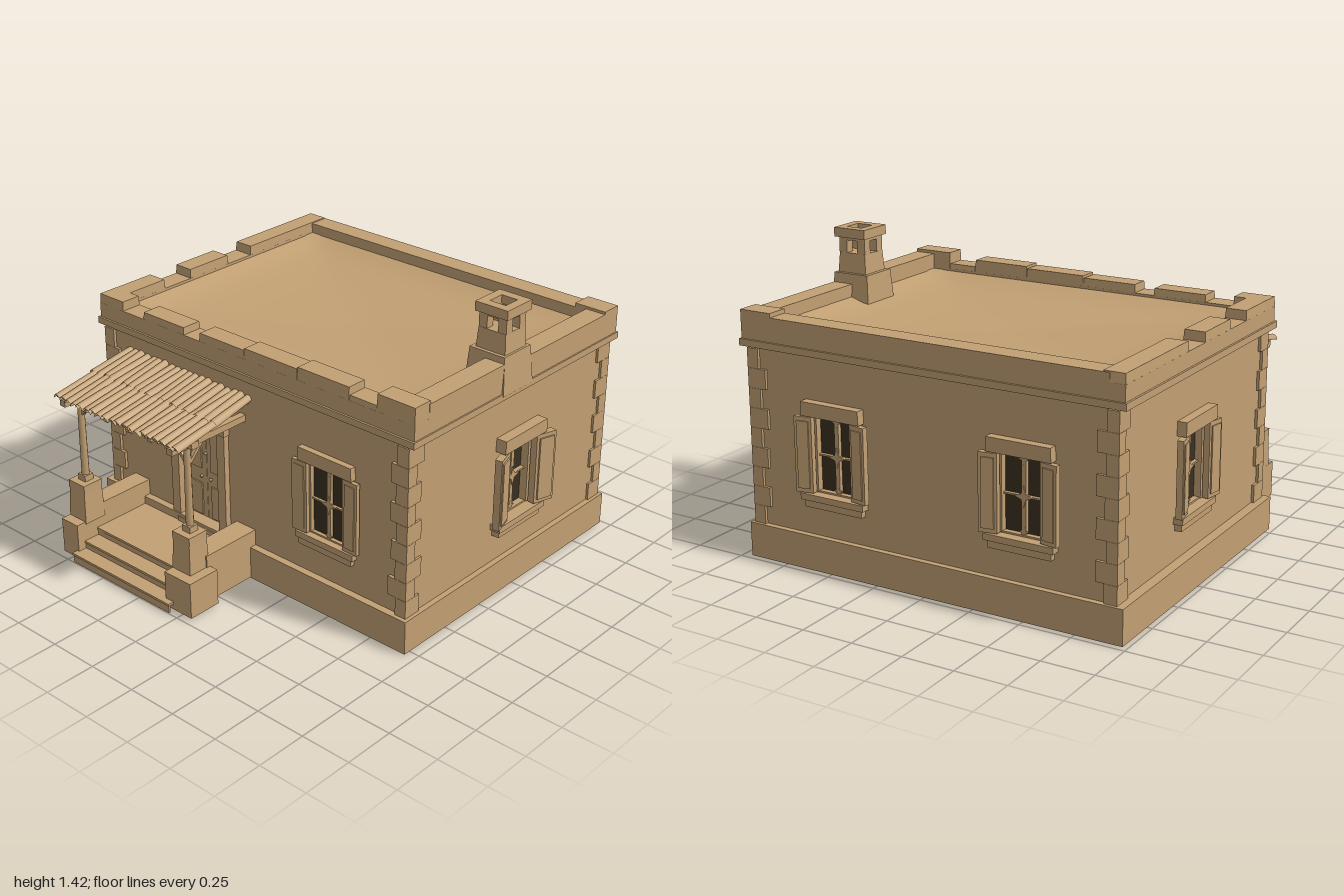
import * as THREE from 'three';

const stone = new THREE.MeshStandardMaterial({ color: 0xc2a073, side: THREE.DoubleSide });
stone.name = 'sandstone';
const dark = new THREE.MeshStandardMaterial({ color: 0x3a3021, side: THREE.DoubleSide });
dark.name = 'darkGlass';

let seed = 7;
const rnd = () => (seed = (seed * 16807) % 2147483647) / 2147483647;
const jit = a => (rnd() - 0.5) * 2 * a;

function add(parent, name, geo, mat = stone) {
  const m = new THREE.Mesh(geo, mat);
  m.name = name;
  parent.add(m);
  return m;
}

// Box given by its limits; the top can be narrowed by tx and tz
function box(parent, name, x0, x1, y0, y1, z0, z1, tx = 1, tz = 1, mat = stone) {
  const g = new THREE.BoxGeometry(x1 - x0, y1 - y0, z1 - z0);
  const p = g.attributes.position;
  for (let i = 0; i < p.count; i++) {
    if (p.getY(i) > 0) { p.setX(i, p.getX(i) * tx); p.setZ(i, p.getZ(i) * tz); }
  }
  g.computeVertexNormals();
  const m = add(parent, name, g, mat);
  m.position.set((x0 + x1) / 2, (y0 + y1) / 2, (z0 + z1) / 2);
  return m;
}

function rect(C, x0, x1, y0, y1) {
  return new C([[x0, y0], [x1, y0], [x1, y1], [x0, y1]].map(a => new THREE.Vector2(...a)));
}

// Rectangular ring lying flat, with wall thickness t
function ring(parent, name, x0, x1, z0, z1, t, y0, y1) {
  const s = rect(THREE.Shape, x0, x1, -z1, -z0);
  s.holes.push(rect(THREE.Path, x0 + t, x1 - t, -z1 + t, -z0 - t));
  const g = new THREE.ExtrudeGeometry(s, { depth: y1 - y0, bevelEnabled: false }).rotateX(-Math.PI / 2);
  add(parent, name, g).position.y = y0;
}

// Straight bar between two points
function bar(parent, name, a, b, w) {
  const A = new THREE.Vector3(...a), B = new THREE.Vector3(...b);
  const m = add(parent, name, new THREE.BoxGeometry(w, w, A.distanceTo(B)));
  m.position.copy(A).add(B).multiplyScalar(0.5);
  m.lookAt(B);
}

// Window with shutters, facing +z, its wall face at z = 0
function makeWindow(cx, depthScale, tilt, leaf) {
  const g = new THREE.Group();
  g.name = 'window';
  g.position.x = cx;
  g.scale.z = depthScale;
  box(g, 'glass', -0.11, 0.11, 0.37, 0.74, -0.026, -0.022, 1, 1, dark);
  box(g, 'lintel', -0.155, 0.16, 0.74, 0.805, -0.01, 0.03, 0.98, 1);
  box(g, 'sill', -0.17, 0.17, 0.345, 0.375, -0.01, 0.03);
  box(g, 'sillBase', -0.155, 0.155, 0.31, 0.345, -0.01, 0.022);
  box(g, 'frameTop', -0.11, 0.11, 0.725, 0.74, -0.022, -0.004);
  box(g, 'frameBottom', -0.11, 0.11, 0.37, 0.383, -0.022, -0.004);
  box(g, 'mullion', -0.011, 0.011, 0.38, 0.73, -0.022, -0.008);
  box(g, 'crossbar', -0.105, 0.105, 0.547, 0.555, -0.022, -0.01);
  const star = new THREE.Shape();
  for (let i = 0; i < 8; i++) {
    const r = i % 2 ? 0.017 : 0.048, a = i * Math.PI / 4;
    star[i ? 'lineTo' : 'moveTo'](r * Math.cos(a), r * Math.sin(a));
  }
  const starGeo = new THREE.ExtrudeGeometry(star, { depth: 0.006, bevelEnabled: false });
  for (const [y, size] of [[0.395, 0.55], [0.551, 1], [0.715, 0.55]]) {
    const m = add(g, 'starOrnament', starGeo);
    m.position.set(0, y, -0.011);
    m.scale.setScalar(size);
  }
  for (const s of [-1, 1]) {
    const jamb = s * 0.105;
    box(g, 'frameSide', jamb - 0.005, jamb + 0.005, 0.38, 0.73, -0.022, 0);
    const h = new THREE.Group();
    h.name = 'shutter';
    h.position.set(s * 0.106, 0, 0.004);
    h.rotation.y = -s * tilt;
    const a = Math.min(0, s * leaf), b = Math.max(0, s * leaf);
    box(h, 'shutterLeaf', a, b, 0.38, 0.735, 0, 0.02);
    box(h, 'shutterPanel', a + 0.014, b - 0.014, 0.4, 0.715, 0.02, 0.024);
    g.add(h);
  }
  return g;
}

// Wall from a to b facing +z locally, with openings and windows, then turned into place
function makeWall(house, name, a, b, windows, door, pos, turn, depthScale, tilt, leaf) {
  const g = new THREE.Group();
  g.name = name;
  const s = rect(THREE.Shape, a, b, 0.1, 1.03);
  for (const x of windows) {
    s.holes.push(rect(THREE.Path, x - 0.11, x + 0.11, 0.37, 0.74));
    g.add(makeWindow(x, depthScale, tilt, leaf));
  }
  if (door) s.holes.push(rect(THREE.Path, -0.455, -0.185, 0.13, 0.7));
  const geo = new THREE.ExtrudeGeometry(s, { depth: 0.05, bevelEnabled: false });
  add(g, 'wallPanel', geo.translate(0, 0, -0.05));
  g.position.set(...pos);
  g.rotation.y = turn;
  house.add(g);
}

function makeDoor(house) {
  const g = new THREE.Group();
  g.name = 'door';
  box(g, 'jambRight', -0.5, -0.45, 0.13, 0.7, 0.47, 0.535);
  box(g, 'jambLeft', -0.19, -0.14, 0.13, 0.7, 0.47, 0.535);
  box(g, 'doorLintel', -0.51, -0.135, 0.69, 0.73, 0.47, 0.54);
  box(g, 'threshold', -0.46, -0.18, 0.13, 0.155, 0.46, 0.545);
  for (const x of [-0.455, -0.319]) {
    box(g, 'doorLeaf', x, x + 0.134, 0.14, 0.7, 0.455, 0.475);
    for (const [y0, y1] of [[0.18, 0.35], [0.43, 0.66]]) {
      box(g, 'doorPanel', x + 0.03, x + 0.104, y0, y1, 0.475, 0.482);
    }
  }
  for (const [x, y] of [[-0.32, 0.52], [-0.35, 0.39], [-0.29, 0.39]]) {
    add(g, 'doorKnob', new THREE.SphereGeometry(0.008, 8, 6)).position.set(x, y, 0.483);
  }
  house.add(g);
}

function makePorch(house) {
  const g = new THREE.Group();
  g.name = 'porch';
  // Steps as thin treads and risers, open below
  for (const [y, z0, z1, y0] of [[0.13, 0.5, 0.85, 0.09], [0.09, 0.84, 0.93, 0.05], [0.05, 0.92, 1.0, 0.01]]) {
    box(g, 'tread', -0.715, -0.05, y - 0.012, y, z0, z1);
    box(g, 'riser', -0.71, -0.055, y0 - 0.01, y - 0.01, z1 - 0.014, z1 - 0.004);
  }
  // Low side walls, plinths and pedestals
  box(g, 'sideWall', -0.1, 0.02, 0.01, 0.25, 0.5, 0.82);
  box(g, 'sideWall', -0.8, -0.7, 0.01, 0.25, 0.5, 0.82);
  box(g, 'porchPlinth', -0.1, 0.065, 0.01, 0.19, 0.8, 0.97);
  box(g, 'porchPlinth', -0.81, -0.7, 0.01, 0.19, 0.8, 0.97);
  for (const x of [-0.752, -0.043]) {
    box(g, 'pedestal', x - 0.058, x + 0.058, 0.18, 0.345, 0.8, 0.92, 0.9, 0.9);
    box(g, 'pedestalCap', x - 0.055, x + 0.055, 0.34, 0.38, 0.805, 0.915);
    add(g, 'post', new THREE.CylinderGeometry(0.016, 0.019, 0.43, 10)).position.set(x, 0.595, 0.855);
    box(g, 'postFoot', x - 0.025, x + 0.025, 0.38, 0.41, 0.83, 0.88);
    box(g, 'sideBeam', x - 0.017, x + 0.017, 0.8, 0.832, 0.48, 0.96);
    const inward = x < -0.4 ? 1 : -1;
    bar(g, 'brace', [x, 0.72, 0.855], [x + inward * 0.08, 0.81, 0.855], 0.017);
    bar(g, 'brace', [x, 0.71, 0.855], [x, 0.81, 0.76], 0.017);
  }
  box(g, 'frontBeam', -0.81, 0.01, 0.81, 0.842, 0.83, 0.875);
  // Sloping rafters and boards
  for (let i = 0; i < 6; i++) {
    const x = -0.77 + i * 0.145;
    bar(g, 'rafter', [x, 0.887, 0.49], [x, 0.817, 0.94], 0.026);
  }
  box(g, 'roofBoards', -0.8, 0.005, 0.868, 0.88, 0.495, 0.955).rotation.x = 0.165;
  // Two overlapping rows of barrel tiles
  const tile = new THREE.CylinderGeometry(0.025, 0.021, 0.255, 6, 1, true, Math.PI / 2, Math.PI)
    .rotateX(Math.PI / 2);
  for (let r = 0; r < 2; r++) {
    for (let i = 0; i < 20; i++) {
      const m = add(g, 'roofTile', tile);
      m.position.set(-0.785 + i * 0.041 + jit(0.003), 0.898 - r * 0.045 + jit(0.004), 0.612 + r * 0.228 + jit(0.006));
      m.rotation.set(0.19, jit(0.05), 0);
    }
  }
  house.add(g);
}

function makeChimney(house) {
  const g = new THREE.Group();
  g.name = 'chimney';
  box(g, 'chimneyBase', 0.75, 0.965, 1.03, 1.21, -0.295, -0.08, 0.88, 0.88);
  box(g, 'chimneyShaft', 0.782, 0.942, 1.2, 1.305, -0.265, -0.11, 0.9, 0.92);
  for (const x of [0.789, 0.892]) {
    for (const z of [-0.258, -0.162]) box(g, 'chimneyPier', x, x + 0.044, 1.3, 1.385, z, z + 0.044);
  }
  ring(g, 'chimneyHead', 0.789, 0.936, -0.258, -0.118, 0.03, 1.365, 1.385);
  ring(g, 'chimneyCap', 0.778, 0.952, -0.275, -0.1, 0.045, 1.38, 1.425);
  house.add(g);
}

function makeParapet(house) {
  const g = new THREE.Group();
  g.name = 'parapet';
  ring(g, 'cornice', -0.982, 0.962, -0.982, 0.525, 0.1, 1.01, 1.042);
  ring(g, 'parapetWall', -0.972, 0.955, -0.972, 0.515, 0.105, 1.04, 1.115);
  // Raised stones: front and right-hand sides are broken, the others whole
  for (const [a, b, y] of [[-0.972, -0.81, 1.16], [-0.67, -0.4, 1.15], [-0.3, -0.02, 1.155],
    [-0.02, 0.3, 1.165], [0.3, 0.6, 1.175], [0.6, 0.75, 1.14], [0.75, 0.955, 1.195]]) {
    box(g, 'frontStone', a, b, 1.11, y, 0.41, 0.515, 0.98, 0.94);
  }
  for (const [a, b] of [[-0.972, -0.4], [-0.24, 0.02], [0.19, 0.515]]) {
    box(g, 'sideStone', -0.972, -0.867, 1.11, 1.16, a, b, 0.94, 0.98);
  }
  box(g, 'sideStone', 0.85, 0.955, 1.11, 1.18, -0.1, 0.42);
  box(g, 'sideStone', 0.85, 0.955, 1.11, 1.162, -0.972, -0.28);
  box(g, 'cornerStone', 0.79, 0.955, 1.11, 1.175, -0.972, -0.867);
  box(g, 'backStone', -0.9, 0.8, 1.11, 1.155, -0.972, -0.867);
  // Roof floor, dished and curving up to the parapet
  const roof = new THREE.PlaneGeometry(1.74, 1.29, 24, 20).rotateX(-Math.PI / 2);
  const p = roof.attributes.position;
  for (let i = 0; i < p.count; i++) {
    const e = Math.max(Math.abs(p.getX(i)) / 0.87, Math.abs(p.getZ(i)) / 0.645);
    p.setY(i, 1.035 + 0.035 * e + 0.035 * e ** 10);
  }
  roof.computeVertexNormals();
  add(g, 'roofFloor', roof).position.set(-0.008, 0, -0.229);
  house.add(g);
}

export function createModel() {
  const house = new THREE.Group();
  house.name = 'house';
  ring(house, 'plinth', -0.98, 0.95, -0.98, 0.54, 0.07, 0.005, 0.17);
  const q = Math.PI / 2;
  makeWall(house, 'frontWall', -0.92, 0.91, [0.47], true, [0, 0, 0.505], 0, 1, 0.04, 0.085);
  makeWall(house, 'backWall', -0.91, 0.92, [-0.47, 0.49], false, [0, 0, -0.952], 2 * q, 1.4, 0.12, 0.085);
  makeWall(house, 'leftWall', -0.5, 0.95, [0.26], false, [0.922, 0, 0], q, 1.8, 0.17, 0.105);
  makeWall(house, 'rightWall', -0.95, 0.5, [-0.26], false, [-0.932, 0, 0], -q, 1.5, 0.12, 0.09);
  // Corner stones of alternating length
  for (const [cx, sx] of [[-0.945, 1], [0.933, -1]]) {
    for (const [cz, sz] of [[0.52, -1], [-0.966, 1]]) {
      for (let i = 0; i < 9; i++) {
        const long = i % 2;
        const x = cx + sx * ((long ? 0.095 : 0.06) + jit(0.008));
        const z = cz + sz * ((long ? 0.06 : 0.095) + jit(0.008));
        const y = 0.165 + i * 0.093;
        box(house, 'quoin', Math.min(cx, x), Math.max(cx, x), y, y + 0.092, Math.min(cz, z), Math.max(cz, z));
      }
    }
  }
  makeDoor(house);
  makePorch(house);
  makeParapet(house);
  makeChimney(house);
  return house;
}
